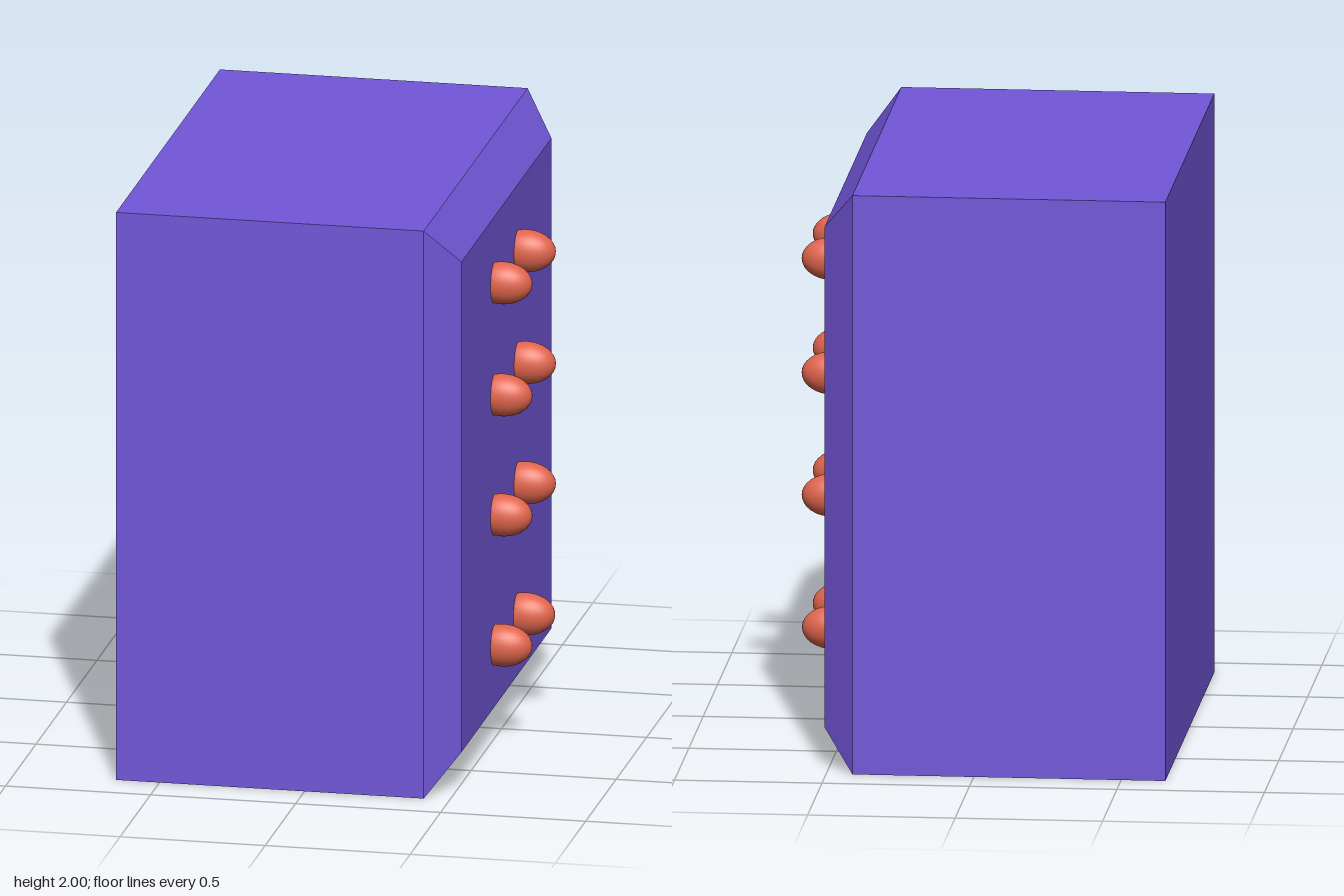
import * as THREE from 'three';

export function createModel() {
  const model = new THREE.Group();
  const bodyMaterial = new THREE.MeshStandardMaterial({ color: 0x7257d9, flatShading: true });
  const knobMaterial = new THREE.MeshStandardMaterial({ color: 0xe0654d });

  // Body: a box whose +x end tapers in to a smaller, chamfered panel
  const geometry = new THREE.BoxGeometry(2, 2, 1.706, 2, 1, 1);
  const pos = geometry.attributes.position;
  for (let i = 0; i < pos.count; i++) {
    const x = pos.getX(i);
    if (x < -0.5) pos.setX(i, -0.65);
    else if (x < 0.5) pos.setX(i, 0.411);
    else pos.setXYZ(i, 0.517, pos.getY(i) * 0.864, pos.getZ(i) * 0.866);
  }
  const bodyGeometry = geometry.toNonIndexed();
  bodyGeometry.computeVertexNormals();
  const body = new THREE.Mesh(bodyGeometry, bodyMaterial);
  body.name = 'body';
  body.position.y = 1;
  model.add(body);

  // Knobs: two columns of egg-shaped bumps on the panel
  const knobs = new THREE.Group();
  knobs.name = 'knobs';
  const knobGeometry = new THREE.SphereGeometry(1, 32, 16);
  const rows = [
    { y: 0.356, z: [0.2, -0.175] },
    { y: 0.815, z: [0.2, -0.185] },
    { y: 1.238, z: [0.2, -0.187] },
    { y: 1.633, z: [0.2, -0.185] },
  ];
  for (const row of rows) {
    for (const z of row.z) {
      const knob = new THREE.Mesh(knobGeometry, knobMaterial);
      knob.name = 'knob';
      knob.scale.set(0.102, 0.073, 0.063);
      knob.position.set(0.546, row.y, z);
      knobs.add(knob);
    }
  }
  model.add(knobs);

  return model;
}
